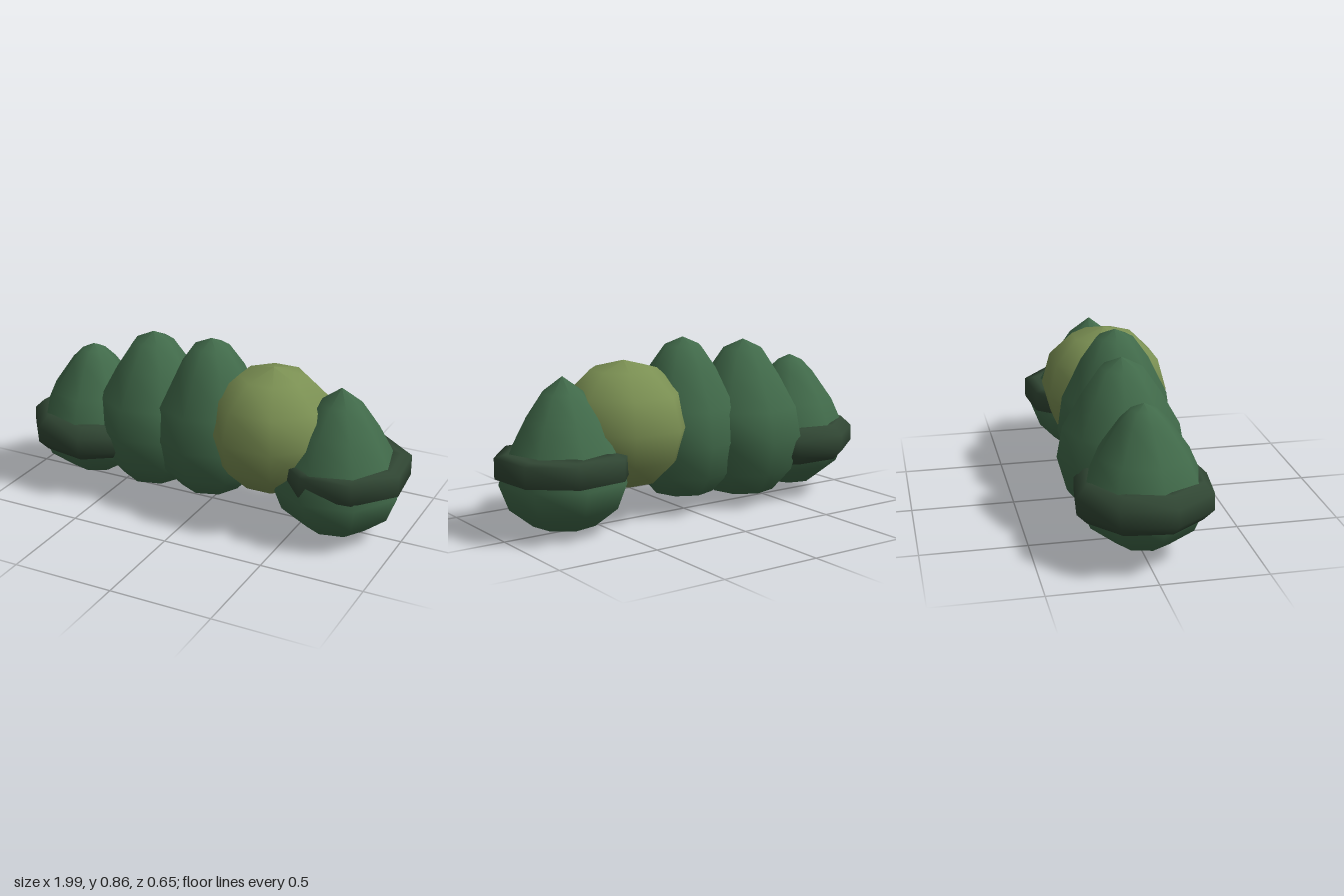
import * as THREE from 'three';

const mat = (name, color) => {
  const m = new THREE.MeshStandardMaterial({ color });
  m.name = name;
  return m;
};

export function createModel() {
  const model = new THREE.Group();
  model.name = 'hedgeRow';
  const leaf = mat('leafGreen', 0x416a4a);
  const olive = mat('oliveGreen', 0x7b9053);
  const shade = mat('darkGreen', 0x314734);

  // Eight-sided lathe of [radius, y] points, turned by a few degrees
  function lathe(name, material, points, x, z, turn) {
    const profile = points.map(([r, y]) => new THREE.Vector2(r, y));
    const geometry = new THREE.LatheGeometry(profile, 8, THREE.MathUtils.degToRad(turn));
    const mesh = new THREE.Mesh(geometry, material);
    mesh.name = name;
    mesh.position.set(x, 0, z);
    model.add(mesh);
    return mesh;
  }

  // Pointed end bushes
  lathe('rightEndBush', leaf, [
    [0, 0.045], [0.13, 0.068], [0.25, 0.16], [0.3, 0.28], [0.265, 0.39],
    [0.22, 0.49], [0.115, 0.64], [0.06, 0.695], [0, 0.722],
  ], -0.67, 0, 8);
  lathe('leftEndBush', leaf, [
    [0, 0.003], [0.155, 0.037], [0.27, 0.13], [0.318, 0.255], [0.26, 0.4],
    [0.19, 0.53], [0.1, 0.66], [0, 0.735],
  ], 0.675, 0.012, -10);

  // Tall middle bushes
  lathe('innerRightBush', leaf, [
    [0, 0.033], [0.16, 0.07], [0.255, 0.18], [0.302, 0.35], [0.275, 0.5],
    [0.185, 0.66], [0.1, 0.785], [0, 0.832],
  ], -0.34, -0.03, -7);
  lathe('middleBush', leaf, [
    [0, 0.07], [0.15, 0.1], [0.24, 0.2], [0.282, 0.36], [0.258, 0.53],
    [0.165, 0.72], [0.09, 0.825], [0, 0.865],
  ], 0, 0.01, -4);

  // Round bush: half circle in 30 degree steps
  const round = [];
  for (let i = 0; i <= 6; i++) {
    const a = (i * Math.PI) / 6;
    round.push([0.325 * Math.sin(a), 0.467 - 0.312 * Math.cos(a)]);
  }
  lathe('roundBush', olive, round, 0.335, 0.022, 22.5);

  // Shaded bands around the end bushes: radius, bottom, top, height of outer edge
  function band(name, r, bottom, top, edge, x, z, turn) {
    const mid = (bottom + top) / 2;
    return lathe(name, shade, [
      [r - 0.16, mid], [r - 0.11, bottom], [r - 0.05, bottom + 0.01],
      [r, mid - edge / 2], [r, mid + edge / 2],
      [r - 0.05, top - 0.01], [r - 0.11, top], [r - 0.16, mid],
    ], x, z, turn);
  }
  const rightBand = band('rightEndBand', 0.33, 0.215, 0.415, 0.08, -0.681, 0, 15);
  rightBand.rotation.z = -0.03;
  rightBand.position.y = -0.022;
  band('leftEndBand', 0.325, 0.26, 0.4, 0.1, 0.688, -0.012, -17);

  return model;
}
